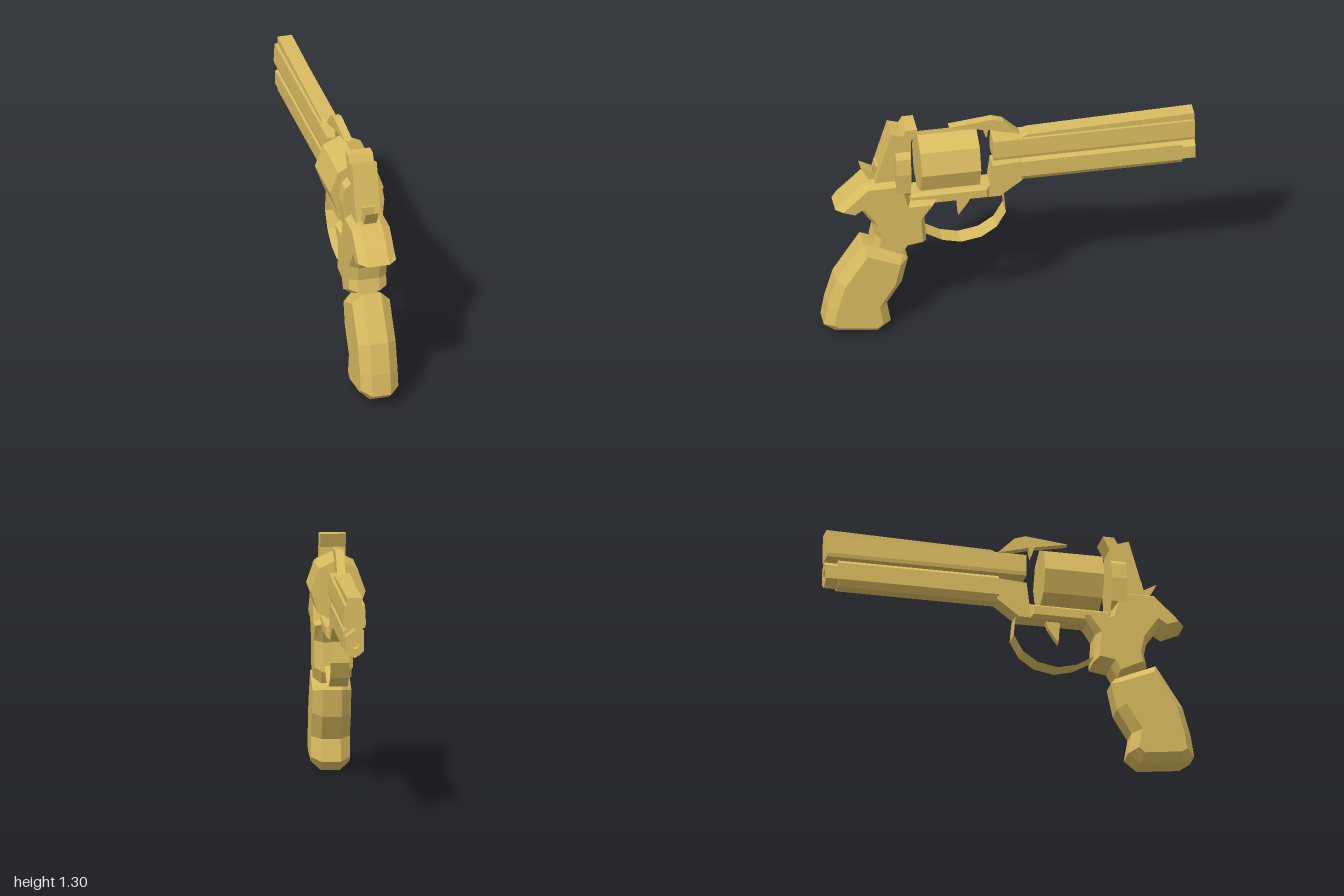
import * as THREE from 'three';

const gold = new THREE.MeshStandardMaterial({ color: 0xd9ba5f });
gold.name = 'gold';
const goldSheet = new THREE.MeshStandardMaterial({ color: 0xd9ba5f, side: THREE.DoubleSide });
goldSheet.name = 'gold sheet';

const toShape = (pts) => new THREE.Shape(pts.map(([a, b]) => new THREE.Vector2(a, b)));

// Side outline given as [z, y], extruded across x and optionally chamfered inward at both faces
function sidePart(name, pts, halfWidth, chamfer = 0, chamferDepth = chamfer) {
  const depth = 2 * (halfWidth - chamferDepth);
  const geo = new THREE.ExtrudeGeometry(toShape(pts), {
    depth, bevelEnabled: chamfer > 0, bevelSegments: 1,
    bevelSize: chamfer, bevelOffset: -chamfer, bevelThickness: chamferDepth,
  });
  geo.translate(0, 0, -depth / 2);
  geo.rotateY(-Math.PI / 2);
  const mesh = new THREE.Mesh(geo, gold);
  mesh.name = name;
  return mesh;
}

// Cross-section given as [x, y], extruded along z; an optional round hole is cut out
function sectionPart(name, pts, z0, z1, hole) {
  const shape = toShape(pts);
  if (hole) shape.holes.push(new THREE.Path().absarc(hole.x, hole.y, hole.r, 0, Math.PI * 2, true));
  const geo = new THREE.ExtrudeGeometry(shape, { depth: z1 - z0, bevelEnabled: false, curveSegments: 4 });
  geo.translate(0, 0, z0);
  const mesh = new THREE.Mesh(geo, gold);
  mesh.name = name;
  return mesh;
}

// Mirror the +x half of a section (listed bottom to top)
const mirrored = (half) => [...half, ...half.slice().reverse().map(([x, y]) => [-x, y])];

// Regular polygon section, squashed in x
const polygon = (n, rx, ry, cy, turn = 0) => Array.from({ length: n }, (_, i) => {
  const a = turn + (i / n) * Math.PI * 2;
  return [Math.cos(a) * rx, cy + Math.sin(a) * ry];
});

// Thin open band following a [z, y] path
function band(name, path, halfWidth) {
  const geo = new THREE.PlaneGeometry(2 * halfWidth, 1, 1, path.length - 1);
  const pos = geo.attributes.position;
  for (let i = 0; i < pos.count; i++) {
    const [z, y] = path[Math.floor(i / 2)];
    pos.setXYZ(i, pos.getX(i), y, z);
  }
  const flat = geo.toNonIndexed();
  flat.computeVertexNormals();
  const mesh = new THREE.Mesh(flat, goldSheet);
  mesh.name = name;
  return mesh;
}

export function createModel() {
  const group = new THREE.Group();
  group.name = 'revolver';

  // Grip with chamfered front and back straps
  group.add(sidePart('grip', [
    [0.79, 0.585], [0.57, 0.49], [0.548, 0.46], [0.58, 0.31], [0.66, 0.18], [0.64, 0.06],
    [0.71, 0.005], [0.94, 0.035], [1.0, 0.08], [0.98, 0.2], [0.935, 0.36],
  ], 0.103, 0.045, 0.052));

  // Rear frame, from the neck of the grip up to the hump
  group.add(sidePart('rearFrame', [
    [0.57, 0.99], [0.535, 0.85], [0.39, 0.84], [0.46, 0.73], [0.45, 0.57], [0.545, 0.555],
    [0.58, 0.49], [0.74, 0.57], [0.725, 0.64], [0.74, 0.72], [0.80, 0.81], [0.84, 0.785],
    [0.94, 0.83], [0.89, 0.885], [0.78, 0.99],
  ], 0.103, 0.025, 0.045));

  // Frame rail below the cylinder and the yoke under the barrel
  group.add(sidePart('frameRail', [
    [0.55, 0.877], [0.11, 0.877], [0.11, 0.80], [0.55, 0.80],
  ], 0.068, 0.015, 0.02));
  group.add(sidePart('yoke', [
    [0.13, 0.877], [0.105, 0.877], [0.09, 1.0], [-0.06, 1.01], [-0.07, 0.89], [0.05, 0.80], [0.13, 0.80],
  ], 0.05));

  // Upright recoil wall and the wider shield behind the cylinder
  group.add(sidePart('recoilWall', [
    [0.735, 0.97], [0.725, 1.0], [0.64, 1.29], [0.58, 1.27], [0.56, 1.305], [0.50, 1.305],
    [0.535, 1.23], [0.535, 0.86],
  ], 0.068));
  group.add(sectionPart('recoilShield',
    mirrored([[0.07, 0.88], [0.103, 0.92], [0.115, 1.05], [0.1, 1.14], [0.066, 1.17]]), 0.54, 0.62));

  // Hammer spur and its block
  group.add(sidePart('hammerSpur', [[0.80, 1.07], [0.73, 1.03], [0.70, 0.97], [0.75, 0.98]], 0.035));
  group.add(sidePart('hammerBlock', [[0.72, 1.07], [0.65, 1.07], [0.65, 1.01], [0.72, 1.01]], 0.035));

  // Faceted cylinder
  group.add(sectionPart('cylinder', polygon(8, 0.146, 0.17, 1.05), 0.17, 0.49));

  // Remaining wedge of the top strap
  group.add(sidePart('topStrap', [
    [0.32, 1.26], [0.09, 1.285], [0.03, 1.265], [-0.06, 1.175], [0.02, 1.195],
    [0.11, 1.22], [0.12, 1.165], [0.14, 1.225],
  ], 0.022));

  // Barrel with sloping rib
  group.add(sectionPart('barrel',
    mirrored([[0.055, 1.04], [0.06, 1.06], [0.055, 1.16]]), -0.995, 0.088));
  group.add(sidePart('barrelRib', [
    [-0.05, 1.155], [-0.1, 1.177], [-0.995, 1.2], [-0.995, 1.155],
  ], 0.04));

  // Underlug with a hollow hexagonal end
  const lug = mirrored([[0.03, 0.88], [0.055, 0.915], [0.055, 1.01], [0.035, 1.03]]);
  group.add(sectionPart('underlug', lug, -0.93, -0.06));
  group.add(sectionPart('underlugEnd', polygon(6, 0.058, 0.075, 0.953, Math.PI / 6),
    -1.0, -0.93, { x: 0, y: 0.953, r: 0.028 }));

  // Trigger and guard
  group.add(sidePart('trigger', [[0.28, 0.81], [0.20, 0.81], [0.215, 0.76], [0.27, 0.68]], 0.018));
  group.add(band('triggerGuard', [
    [0.03, 0.80], [0.02, 0.69], [0.07, 0.60], [0.15, 0.545], [0.26, 0.525], [0.36, 0.55], [0.46, 0.61],
  ], 0.05));

  return group;
}
